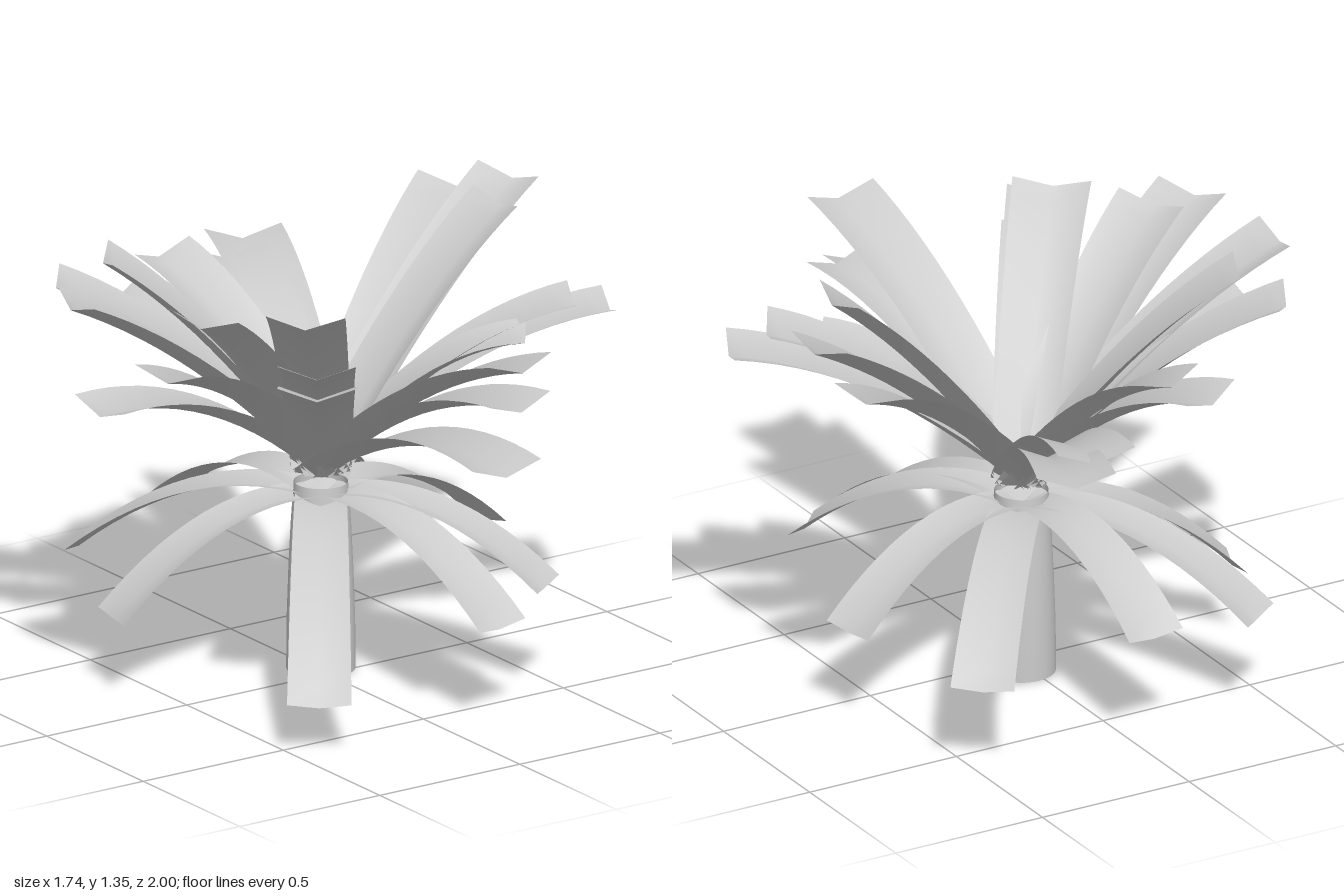
import * as THREE from 'three';

const CENTER = new THREE.Vector3(0.02, 0, -0.06);
const material = new THREE.MeshStandardMaterial({ color: 0xcccccc, side: THREE.DoubleSide });

// Frond tips: [x, y, z]
const UPPER_TIPS = [
  [0.36, 1.03, -0.96], [0.22, 1.03, -0.84], [0.81, 1.23, -0.51], [0.85, 1.31, -0.28],
  [0.65, 1.33, -0.05], [0.81, 1.07, 0.29], [0.68, 1.11, 0.29], [0.5, 1.03, 0.3],
  [0.15, 1.02, 0.79], [0.09, 1.18, 0.88], [-0.04, 0.91, 0.99], [-0.38, 1.28, 0.44],
  [-0.36, 1.13, 0.47], [-0.49, 1.14, 0.66], [-0.59, 1.26, 0.21], [-0.82, 1.18, 0.37],
  [-0.81, 0.97, 0], [-0.79, 1.25, -0.17], [-0.63, 1.2, -0.48], [-0.52, 1.28, -0.39],
  [-0.12, 1.14, -0.69], [-0.26, 1.05, -0.69],
];
const LOWER_TIPS = [
  [0.67, 0.31, -0.17], [0.43, 0.33, 0.51], [0.16, 0.3, 0.67], [-0.44, 0.15, 0.6],
  [-0.63, 0.24, -0.19], [-0.43, 0.3, -0.67], [-0.03, 0.36, -0.75], [0.51, 0.28, -0.67],
];

// Arched strip folded to a shallow V along its middle
function frond(tipXYZ, baseY, baseWidth, tipWidth, fold) {
  const base = new THREE.Vector3(CENTER.x, baseY, CENTER.z);
  const tip = new THREE.Vector3(...tipXYZ);
  const run = tip.clone().sub(base);
  const side = new THREE.Vector3(run.z, 0, -run.x).normalize();
  // Steep fronds are straighter
  const arch = 0.1 - 0.12 * Math.max(0, tip.y - 1);
  const rows = 14, cols = 2;
  const positions = [], index = [];
  for (let i = 0; i <= rows; i++) {
    const t = i / rows;
    const mid = base.clone().addScaledVector(run, t);
    mid.y += 4 * arch * t * (1 - t);
    const tangent = run.clone();
    tangent.y += 4 * arch * (1 - 2 * t);
    const up = tangent.normalize().cross(side).normalize();
    const half = THREE.MathUtils.lerp(baseWidth, tipWidth, t) / 2;
    for (let j = 0; j <= cols; j++) {
      const s = j - 1;
      const p = mid.clone().addScaledVector(side, s * half)
        .addScaledVector(up, fold * (Math.abs(s) - 0.4));
      positions.push(p.x, p.y, p.z);
      if (i < rows && j < cols) {
        const a = i * (cols + 1) + j, b = a + cols + 1;
        index.push(a, a + 1, b, a + 1, b + 1, b);
      }
    }
  }
  const geometry = new THREE.BufferGeometry();
  geometry.setAttribute('position', new THREE.Float32BufferAttribute(positions, 3));
  geometry.setIndex(index);
  geometry.computeVertexNormals();
  return new THREE.Mesh(geometry, material);
}

function crown(name, tips, ...shape) {
  const group = new THREE.Group();
  group.name = name;
  tips.forEach((tip, i) => {
    const leaf = frond(tip, ...shape);
    leaf.name = `${name}Frond${i + 1}`;
    group.add(leaf);
  });
  return group;
}

export function createModel() {
  const model = new THREE.Group();
  model.name = 'palm';

  // Open trunk, tapering towards the top
  const profile = [[0.102, 0], [0.101, 0.15], [0.096, 0.3], [0.089, 0.45], [0.08, 0.58]];
  const trunk = new THREE.Mesh(
    new THREE.LatheGeometry(profile.map(([r, y]) => new THREE.Vector2(r, y)), 32), material);
  trunk.name = 'trunk';
  trunk.position.copy(CENTER);
  model.add(trunk);

  // Rising crown above, drooping skirt below
  model.add(crown('upper', UPPER_TIPS, 0.605, 0.18, 0.235, 0.04));
  model.add(crown('lower', LOWER_TIPS, 0.54, 0.15, 0.19, 0.02));
  return model;
}
